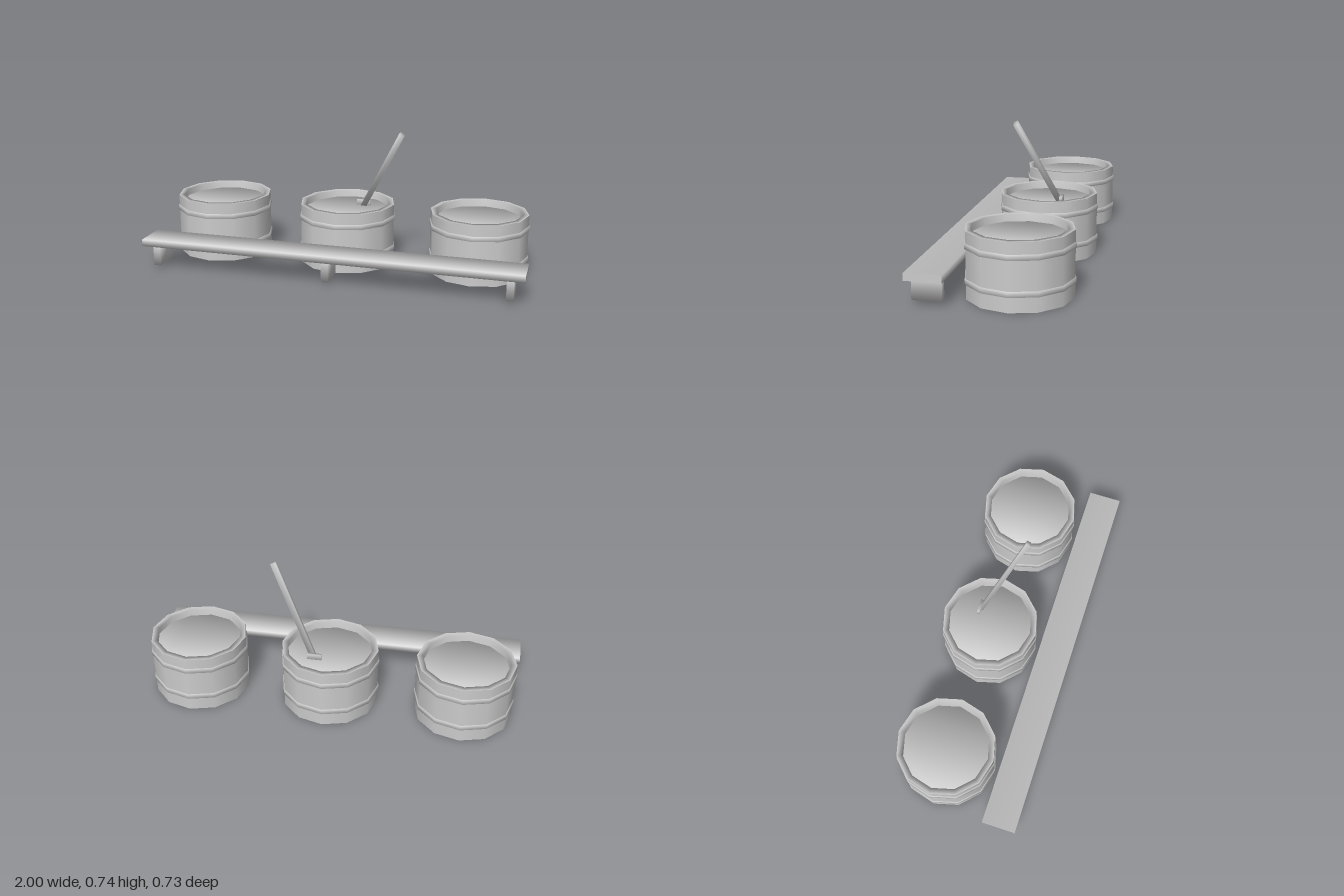
import * as THREE from 'three';

const SIDES = 12;
const grey = new THREE.MeshStandardMaterial({ color: 0xcccccc });
grey.name = 'paleGrey';

function part(name, geometry, parent) {
  const mesh = new THREE.Mesh(geometry, grey);
  mesh.name = name;
  parent.add(mesh);
  return mesh;
}

// Profile turned around y with smooth normals
function turned(points) {
  return new THREE.LatheGeometry(points.map(([r, y]) => new THREE.Vector2(r, y)), SIDES);
}

// Flat polygon facing up (1) or down (-1), its normals leaning outward at the edge
function softDisc(radius, facing) {
  const corners = [];
  for (let i = 0; i < SIDES; i++) {
    const a = (i / SIDES) * Math.PI * 2;
    corners.push(new THREE.Vector2(radius * Math.cos(a), radius * Math.sin(a)));
  }
  const g = new THREE.ShapeGeometry(new THREE.Shape(corners));
  g.rotateX(-facing * Math.PI / 2);
  const p = g.attributes.position;
  for (let i = 0; i < p.count; i++) {
    const v = new THREE.Vector3(p.getX(i) / radius, facing, p.getZ(i) / radius).normalize();
    g.attributes.normal.setXYZ(i, v.x, v.y, v.z);
  }
  return g;
}

// Box with normals averaged over its edges; ax = 0 keeps the x ends sharp
function softBox(w, h, d, ax) {
  const g = new THREE.BoxGeometry(w, h, d);
  const p = g.attributes.position, n = g.attributes.normal;
  for (let i = 0; i < p.count; i++) {
    if (ax === 0 && Math.abs(n.getX(i)) > 0.5) continue;
    const v = new THREE.Vector3(ax * Math.sign(p.getX(i)), Math.sign(p.getY(i)), Math.sign(p.getZ(i))).normalize();
    n.setXYZ(i, v.x, v.y, v.z);
  }
  return g;
}

function createTub(name) {
  const tub = new THREE.Group();
  tub.name = name;
  const R = 0.257, r = 0.226, H = 0.322;

  // Hollow wall, and both rims
  part('wall', turned([[R, 0], [R, H]]), tub);
  part('topRim', turned([[R, H], [r, H], [r, H / 2]]), tub);
  part('bottomRim', turned([[r, H / 2], [r, 0], [R, 0]]), tub);

  // Recessed lid and base
  part('lid', softDisc(r, 1), tub).position.y = 0.286;
  part('base', softDisc(r, -1), tub).position.y = 0.036;

  // Two hoops
  for (const y of [0.085, 0.252]) {
    const hoop = turned([[0.25, -0.013], [0.262, -0.013], [0.262, 0.013], [0.25, 0.013]]);
    part('hoop', hoop, tub).position.y = y;
  }
  return tub;
}

export function createModel() {
  const model = new THREE.Group();
  model.name = 'tubsAndBench';

  // Row of three tubs
  ['rightTub', 'middleTub', 'leftTub'].forEach((name, i) => {
    const tub = createTub(name);
    tub.position.set((i - 1) * 0.714, 0, -0.101);
    model.add(tub);
  });

  // Paddle standing in the middle tub
  const paddle = new THREE.Group();
  paddle.name = 'paddle';
  const foot = new THREE.Vector3(0.072, 0.285, -0.173);
  const tip = new THREE.Vector3(0.317, 0.731, 0.007);
  const axis = tip.clone().sub(foot);
  const handle = part('paddleHandle', softBox(0.03, axis.length(), 0.022, 1), paddle);
  handle.position.copy(foot).addScaledVector(axis, 0.5);
  handle.quaternion.setFromUnitVectors(new THREE.Vector3(0, 1, 0), axis.normalize());
  part('paddleBlade', softBox(0.075, 0.05, 0.014, 1), paddle).position.set(0.07, 0.292, -0.18);
  model.add(paddle);

  // Low bench in front
  const bench = new THREE.Group();
  bench.name = 'bench';
  part('benchSeat', softBox(2, 0.036, 0.178, 0), bench).position.set(0, 0.144, 0.274);
  for (const x of [-0.928, 0, 0.928]) {
    part('benchLeg', softBox(0.036, 0.108, 0.143, 1), bench).position.set(x, 0.073, 0.274);
  }
  model.add(bench);

  return model;
}
